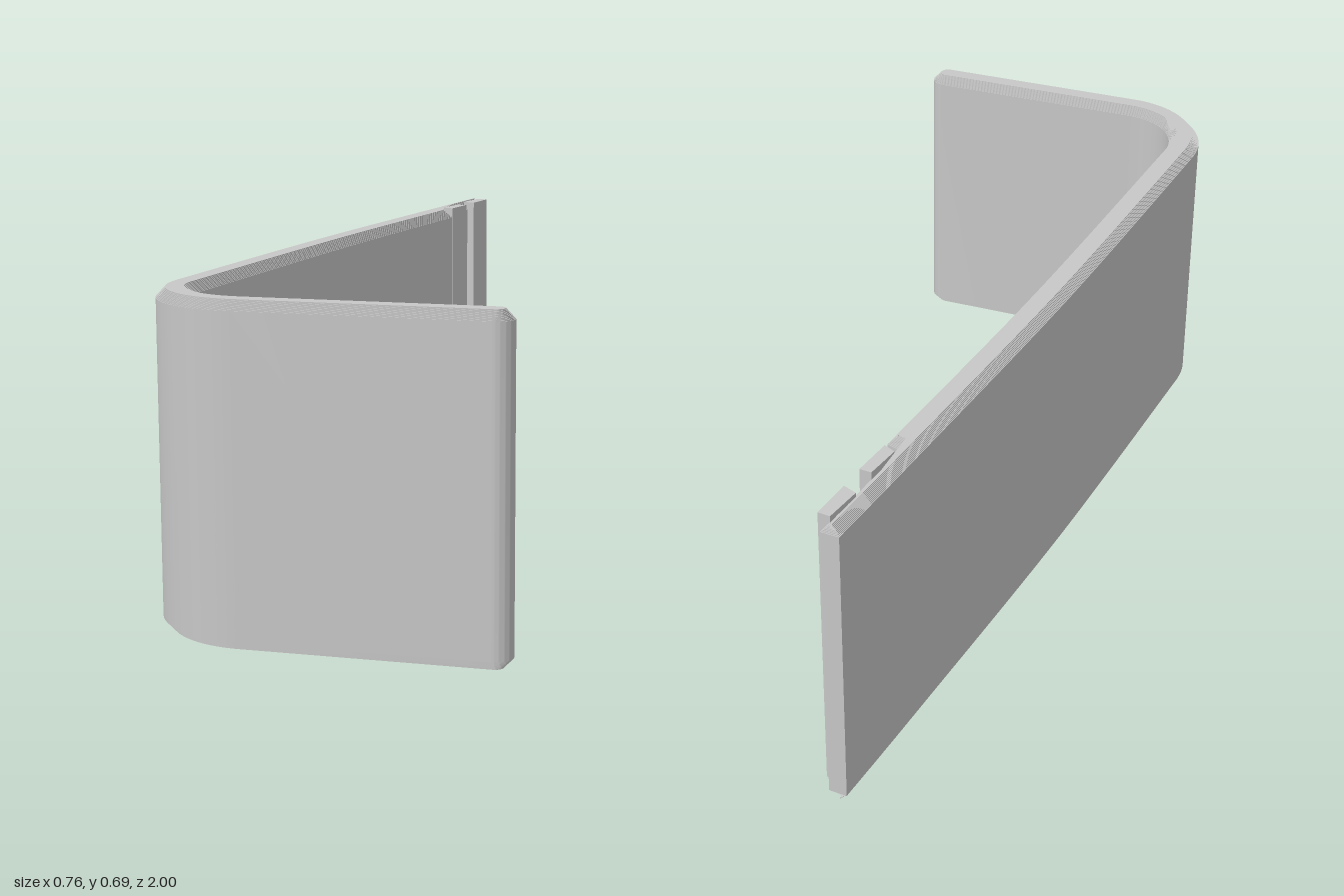
import * as THREE from 'three';
import { mergeGeometries, toCreasedNormals } from 'three/addons/utils/BufferGeometryUtils.js';

const HEIGHT = 0.685;
const RIM_HEIGHT = 0.02; // rise of the stepped chamfer
const RIM_INSET = 0.0185; // how far the chamfer runs inward
const STEPS = 10;

// Extrude a plan drawn in (x, z) upwards from y0 to y1, its outline moved inward
function extrudeUp(shape, y0, y1, inset = 0) {
  const geometry = new THREE.ExtrudeGeometry(shape, {
    depth: y1 - y0,
    curveSegments: 20,
    bevelEnabled: inset > 0,
    bevelSize: 0,
    bevelOffset: -inset,
    bevelThickness: 0,
    bevelSegments: 0,
  });
  geometry.rotateX(Math.PI / 2);
  geometry.translate(0, y1, 0);
  return toCreasedNormals(geometry, 0.5);
}

function bandShape() {
  const s = new THREE.Shape();
  const v = (x, z) => new THREE.Vector2(x, z);
  // outer side of the long arm, from the thin tip to the bend
  s.moveTo(-0.201, -1);
  s.splineThru([v(-0.238, -0.7), v(-0.318, 0), v(-0.381, 0.76)]);
  // outer bend, short front arm and its rounded end
  s.absarc(-0.161, 0.78, 0.22, Math.PI, Math.PI / 2, true);
  s.lineTo(0.344, 1);
  s.absarc(0.344, 0.963, 0.037, Math.PI / 2, -Math.PI / 2, true);
  // inner bend and inner side of the long arm
  s.lineTo(-0.161, 0.926);
  s.absarc(-0.161, 0.78, 0.146, Math.PI / 2, Math.PI, false);
  s.splineThru([v(-0.243, 0), v(-0.166, -0.682)]);
  // step down to the thin tip
  s.lineTo(-0.197, -0.694);
  s.lineTo(-0.161, -0.997);
  s.closePath();
  return s;
}

export function createModel() {
  const group = new THREE.Group();
  const grey = new THREE.MeshStandardMaterial({ color: 0xc7c7c7 });
  grey.name = 'plain grey';

  // Bent band: a main slab with fine steps narrowing towards both edges
  const shape = bandShape();
  const layers = [extrudeUp(shape, RIM_HEIGHT, HEIGHT - RIM_HEIGHT)];
  const rise = RIM_HEIGHT / STEPS;
  for (let i = 0; i < STEPS; i++) {
    const inset = (RIM_INSET * (i + 1)) / STEPS;
    const low = RIM_HEIGHT - rise * (i + 1);
    const high = HEIGHT - RIM_HEIGHT + rise * i;
    layers.push(extrudeUp(shape, low, low + rise, inset));
    layers.push(extrudeUp(shape, high, high + rise, inset));
  }
  const band = new THREE.Mesh(mergeGeometries(layers), grey);
  band.name = 'bentBand';
  group.add(band);

  // Two catch ridges on the inside of the thin tip
  const ridges = [
    [[-0.17, -0.97], [-0.143, -0.967], [-0.155, -0.87], [-0.185, -0.883]],
    [[-0.186, -0.81], [-0.16, -0.808], [-0.174, -0.714], [-0.2, -0.728]],
  ];
  ridges.forEach((corners, i) => {
    const plan = new THREE.Shape(corners.map(([x, z]) => new THREE.Vector2(x, z)));
    const ridge = new THREE.Mesh(extrudeUp(plan, 0.025, HEIGHT), grey);
    ridge.name = `catchRidge${i + 1}`;
    group.add(ridge);
  });

  return group;
}
